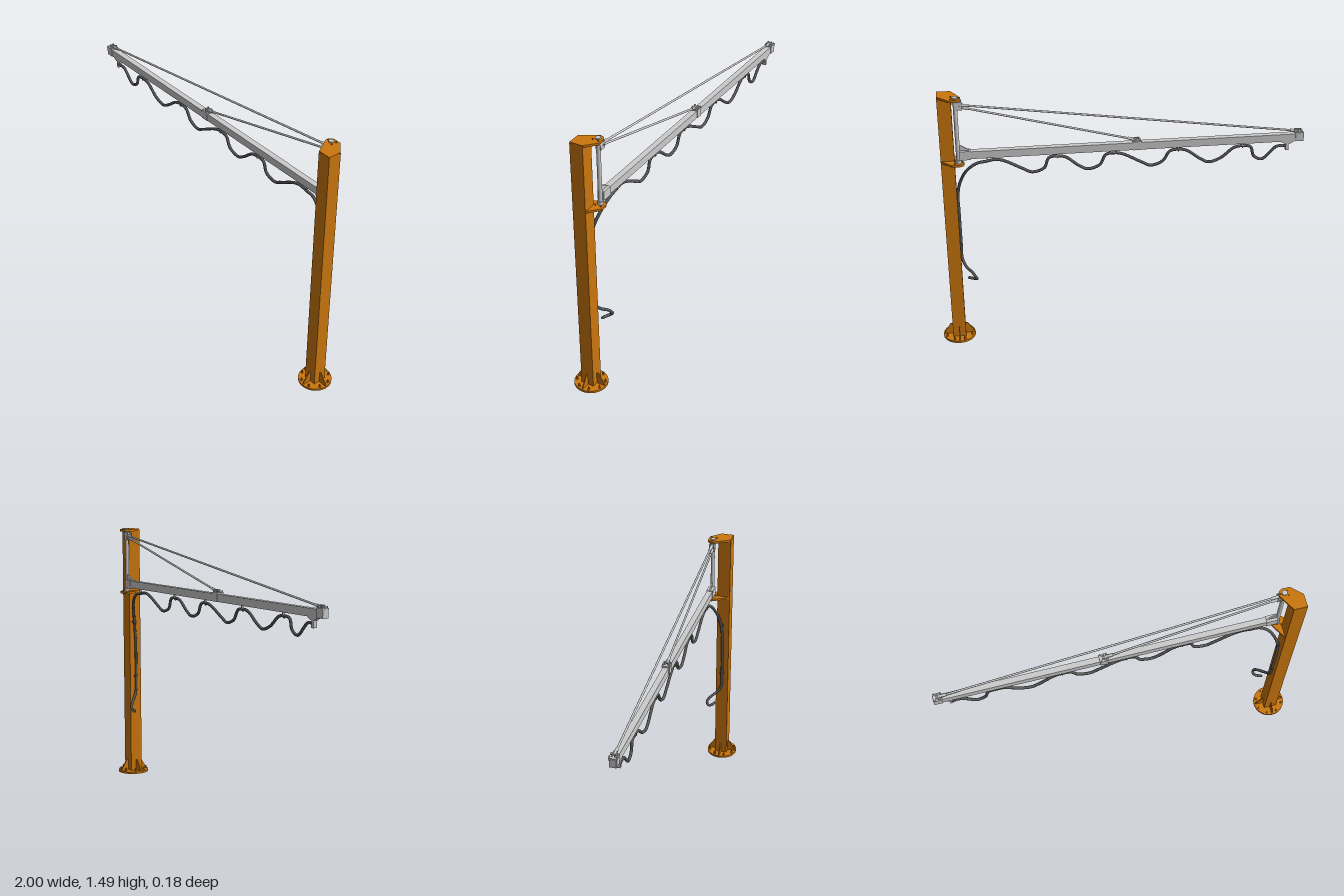
import * as THREE from 'three';

const V = (x, y, z) => new THREE.Vector3(x, y, z);

export function createModel() {
  const root = new THREE.Group();
  const orange = new THREE.MeshStandardMaterial({ color: 0xcc770d });
  const grey = new THREE.MeshStandardMaterial({ color: 0xcccccc });
  const dark = new THREE.MeshStandardMaterial({ color: 0x555555 });
  const PX = 0.907, HX = 0.85, AZ = -0.063; // post x, hinge x, arm z

  const add = (name, geo, mat, x = 0, y = 0, z = 0, parent = root) => {
    const m = new THREE.Mesh(geo, mat);
    m.name = name;
    m.position.set(x, y, z);
    parent.add(m);
    return m;
  };
  const box = (name, mat, w, h, d, x, y, z, parent) =>
    add(name, new THREE.BoxGeometry(w, h, d), mat, x, y, z, parent);
  const cyl = (name, mat, r, h, x, y, z, n = 20, parent) =>
    add(name, new THREE.CylinderGeometry(r, r, h, n), mat, x, y, z, parent);
  const rod = (name, a, b, r, mat = grey) => {
    const m = cyl(name, mat, r, a.distanceTo(b), 0, 0, 0, 12);
    m.position.copy(a).add(b).multiplyScalar(0.5);
    m.quaternion.setFromUnitVectors(V(0, 1, 0), b.clone().sub(a).normalize());
    return m;
  };
  const plate = (pts, depth) => new THREE.ExtrudeGeometry(
    new THREE.Shape(pts.map(p => new THREE.Vector2(...p))), { depth, bevelEnabled: false });

  // Post on a round foot with gussets and anchor bolts
  box('post', orange, 0.073, 1.473, 0.074, PX, 0.7465, 0);
  cyl('basePlate', orange, 0.09, 0.012, PX, 0.006, 0, 40);
  for (let i = 0; i < 4; i++) {
    const g = new THREE.Group();
    g.name = 'gusset';
    g.position.set(PX, 0, 0);
    g.rotation.y = i * Math.PI / 2;
    add('gussetPlate', plate([[0.034, 0.012], [0.084, 0.012], [0.084, 0.02], [0.048, 0.077], [0.034, 0.077]], 0.006),
      orange, 0, 0, -0.003, g);
    root.add(g);
  }
  for (let i = 0; i < 8; i++) {
    const a = (i + 0.5) * Math.PI / 4;
    const x = PX + Math.cos(a) * 0.076, z = Math.sin(a) * 0.076;
    cyl('anchorNut', orange, 0.007, 0.008, x, 0.016, z, 6);
    cyl('anchorStud', orange, 0.0035, 0.018, x, 0.02, z, 10);
  }

  // Hinge plates, rounded round the pivot
  const hinge = new THREE.Shape();
  hinge.moveTo(0.943, -0.036);
  hinge.lineTo(0.943, 0.034);
  hinge.lineTo(0.885, 0.09);
  hinge.lineTo(0.85, 0.09);
  hinge.absarc(HX, 0.061, 0.03, Math.PI / 2, Math.PI * 1.12, false);
  hinge.lineTo(0.871, -0.036);
  for (const y of [1.106, 1.475]) {
    const geo = new THREE.ExtrudeGeometry(hinge, { depth: 0.012, bevelEnabled: false, curveSegments: 12 });
    geo.rotateX(-Math.PI / 2);
    add('hingePlate', geo, orange, 0, y, 0);
    cyl('pivotPin', grey, 0.014, 0.026, HX, y + 0.006, AZ, 16);
    for (const [dx, dz] of [[-0.02, 0], [0.02, -0.014], [0.02, 0.016]])
      cyl('hingeBolt', orange, 0.004, 0.024, HX + dx, y + 0.006, AZ + dz, 6);
  }
  cyl('hingeTube', grey, 0.011, 0.36, HX, 1.296, AZ, 24);
  for (const y of [1.13, 1.463]) cyl('bearingCollar', grey, 0.016, 0.016, HX, y, AZ, 24);

  // Jib rail: hollow section with a slot along the underside
  const w = 0.016, s = 0.006, t = 0.003, h = 0.042;
  const rail = plate([[-s, 0], [-w, 0], [-w, h], [w, h], [w, 0], [s, 0], [s, t],
    [w - t, t], [w - t, h - t], [t - w, h - t], [t - w, t], [-s, t]].reverse(), 1.838);
  rail.rotateY(Math.PI / 2);
  add('jibRail', rail, grey, -0.998, 1.145, AZ);
  box('railEndCap', grey, 0.006, 0.044, 0.036, -0.997, 1.166, AZ);
  box('railShoe', grey, 0.06, 0.05, 0.038, 0.815, 1.166, AZ);
  add('railGusset', plate([[0.785, 1.19], [0.845, 1.19], [0.845, 1.22], [0.835, 1.22]], 0.008), grey, 0, 0, AZ - 0.004);

  // Tie rods with rail clamps and hinge lugs
  const ties = [[-0.975, 1.452, -0.004], [-0.095, 1.438, 0.004]];
  for (const [x, topY, dz] of ties) {
    box('railClamp', grey, 0.046, 0.008, 0.044, x, 1.191, AZ);
    for (const side of [-1, 1]) {
      box('clampCheek', grey, 0.04, 0.046, 0.004, x, 1.168, AZ + side * 0.018);
      box('tieLug', grey, 0.034, 0.018, 0.004, x + 0.008, 1.2, AZ + side * 0.008);
      for (const d of [-0.014, 0.014]) cyl('clampBolt', grey, 0.004, 0.014, x + d, 1.196, AZ + side * 0.018, 6);
    }
    const a = V(x + 0.005, 1.198, AZ), b = V(0.835, topY, AZ + dz);
    rod('tieRod', a, b, 0.0055);
    rod('tieEndSleeve', a, a.clone().lerp(b, 0.045 / a.distanceTo(b)), 0.008);
    rod('tieEndSleeve', b, b.clone().lerp(a, 0.05 / a.distanceTo(b)), 0.008);
    const pin = cyl('tiePin', grey, 0.005, 0.036, x + 0.008, 1.2, AZ, 12);
    pin.rotation.x = Math.PI / 2;
  }
  for (const side of [-1, 1])
    box('hingeLug', grey, 0.036, 0.044, 0.004, 0.834, 1.447, AZ + side * 0.013);
  const lugPin = cyl('lugPin', grey, 0.005, 0.036, 0.828, 1.445, AZ, 12);
  lugPin.rotation.x = Math.PI / 2;

  // Festoon cable: loops under the rail, then down the post to a free hook
  const cz = -0.058, hangers = [-0.67, -0.32, 0.026, 0.33, 0.66];
  const lows = [-0.78, -0.488, -0.17, 0.168, 0.465];
  const pts = [V(-0.91, 1.11, cz), V(-0.86, 1.11, cz), V(-0.835, 1.09, cz)];
  lows.forEach((x, i) => {
    const k = i ? 0.045 : 0.025;
    if (i) pts.push(V(x - k - 0.02, 1.06, cz));
    pts.push(V(x, 1.039, cz), V(x + 0.045, 1.06, cz));
    const hx = hangers[i];
    pts.push(V(hx - 0.045, 1.116, cz), V(hx, 1.125, cz), V(hx + 0.045, 1.117, cz));
  });
  pts.push(V(0.755, 1.108, cz), V(0.81, 1.063, -0.045), V(0.85, 0.98, -0.02),
    V(0.865, 0.9, -0.006), V(0.865, 0.8, 0), V(0.865, 0.6, 0), V(0.864, 0.5, -0.004),
    V(0.845, 0.463, -0.03), V(0.812, 0.44, -0.062), V(0.796, 0.418, -0.074),
    V(0.79, 0.4, -0.062), V(0.805, 0.394, -0.048), V(0.832, 0.394, -0.036));
  const path = new THREE.CatmullRomCurve3(pts);
  add('cable', new THREE.TubeGeometry(path, 320, 0.008, 12), dark);
  for (const end of [pts[0], pts[pts.length - 1]])
    add('cableEnd', new THREE.SphereGeometry(0.008, 12, 8), dark, end.x, end.y, end.z);

  // Cable hangers, end clamp and post clips
  for (const x of [-0.67, -0.32, 0.026, 0.33, 0.7]) {
    box('cableHanger', grey, 0.008, 0.022, 0.01, x, 1.138, AZ);
    const ring = add('hangerRing', new THREE.TorusGeometry(0.0085, 0.002, 6, 16), dark, x, 1.122, cz);
    ring.rotation.y = Math.PI / 2;
  }
  add('endBracket', plate([[-0.955, 1.146], [-0.925, 1.128], [-0.9, 1.128], [-0.87, 1.146]], 0.026), grey, 0, 0, AZ - 0.013);
  box('endClamp', grey, 0.016, 0.04, 0.022, -0.913, 1.11, AZ);
  for (const y of [0.93, 0.6])
    box('postClip', dark, 0.016, 0.01, 0.024, 0.868, y, y > 0.9 ? -0.008 : 0);

  return root;
}
